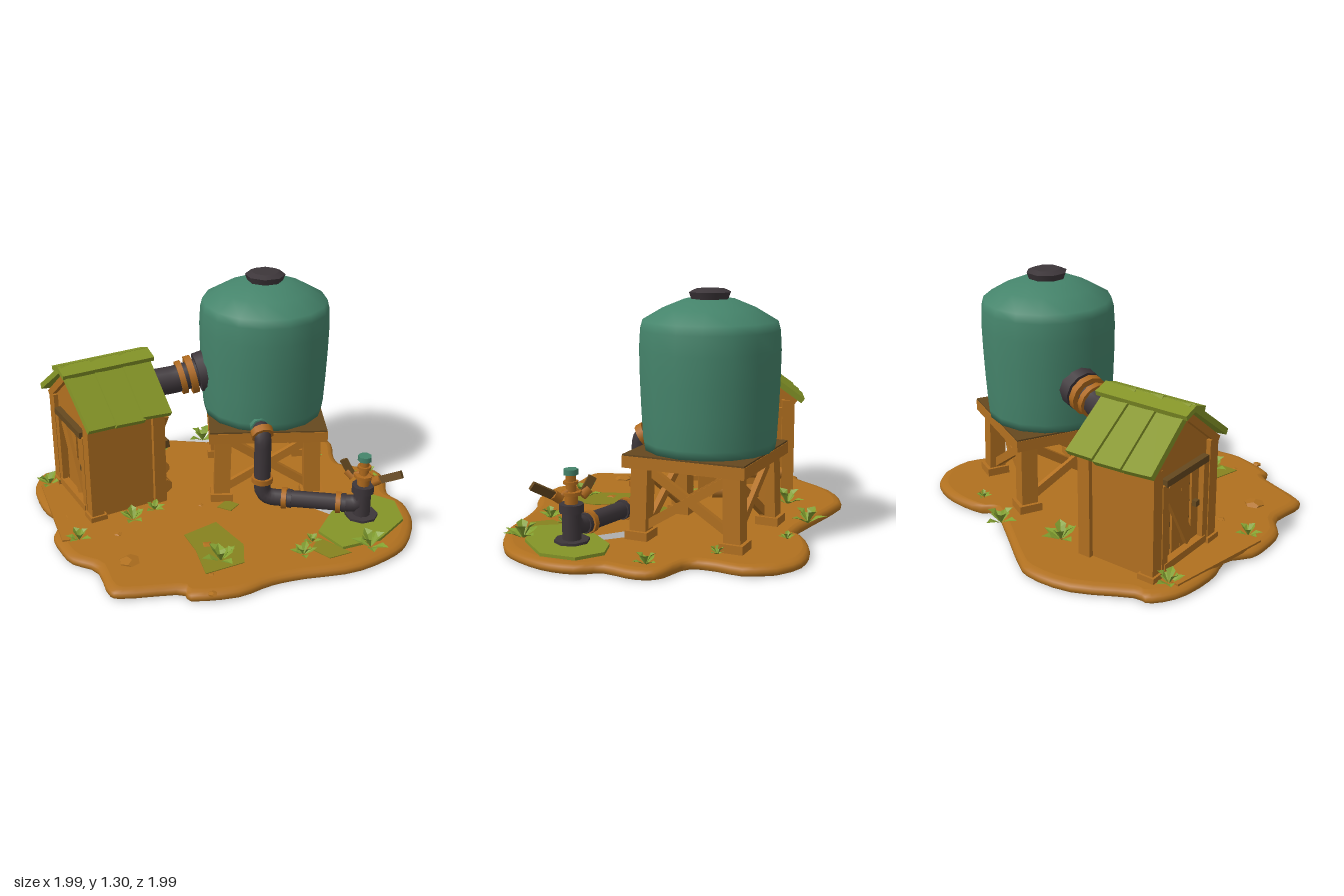
import * as THREE from 'three';

const V = (x, y, z) => new THREE.Vector3(x, y, z);
const UP = V(0, 1, 0);

export function createModel() {
  const paint = (name, color, side = THREE.FrontSide) => {
    const m = new THREE.MeshStandardMaterial({ color, side });
    m.name = name;
    return m;
  };
  const earth = paint('earth', 0xb0701f, THREE.DoubleSide);
  const wood = paint('wood', 0xb27020);
  const darkWood = paint('darkWood', 0x65481f);
  const copper = paint('copper', 0xae691d);
  const iron = paint('iron', 0x3d363a);
  const teal = paint('teal', 0x45846b);
  const thatch = paint('roofGreen', 0x849427);
  const leafGreen = paint('leafGreen', 0x83a030, THREE.DoubleSide);
  const grass = paint('grass', 0x87821f);

  const model = new THREE.Group();
  const group = (name, parent = model) => {
    const g = new THREE.Group();
    g.name = name;
    parent.add(g);
    return g;
  };
  const add = (parent, name, geo, mat, x = 0, y = 0, z = 0) => {
    const m = new THREE.Mesh(geo, mat);
    m.name = name;
    m.position.set(x, y, z);
    parent.add(m);
    return m;
  };
  const box = (p, name, mat, w, h, d, x, y, z) => add(p, name, new THREE.BoxGeometry(w, h, d), mat, x, y, z);
  // place a vertical geometry between two points
  const between = (p, name, geo, mat, a, b) => {
    const m = add(p, name, geo, mat);
    m.position.copy(a).add(b).multiplyScalar(0.5);
    m.quaternion.setFromUnitVectors(UP, b.clone().sub(a).normalize());
    return m;
  };
  const beam = (p, name, mat, a, b, w, d) =>
    between(p, name, new THREE.BoxGeometry(w, a.distanceTo(b), d), mat, a, b);
  const rod = (p, name, mat, a, b, r, r2 = r, sides = 10) =>
    between(p, name, new THREE.CylinderGeometry(r2, r, a.distanceTo(b), sides), mat, a, b);
  // horizontal slab from an outline of [x, z] pairs
  const vec2 = (pts) => pts.map(([x, z]) => new THREE.Vector2(x, z));
  const slab = (name, mat, pts, top, depth) => {
    const geo = new THREE.ExtrudeGeometry(new THREE.Shape(vec2(pts)), { depth, bevelEnabled: false });
    return add(model, name, geo.rotateX(Math.PI / 2), mat, 0, top, 0);
  };
  // pipe along a path with rounded corners
  const pipe = (p, name, pts, r, bend) => {
    const path = new THREE.CurvePath();
    let from = pts[0];
    for (let i = 1; i < pts.length - 1; i++) {
      const c = pts[i];
      const a = c.clone().add(pts[i - 1].clone().sub(c).setLength(bend));
      const b = c.clone().add(pts[i + 1].clone().sub(c).setLength(bend));
      path.add(new THREE.LineCurve3(from, a));
      path.add(new THREE.QuadraticBezierCurve3(a, c, b));
      from = b;
    }
    path.add(new THREE.LineCurve3(from, pts[pts.length - 1]));
    add(p, name, new THREE.TubeGeometry(path, 48, r, 10), iron);
  };

  // ground island: hollow shell with a rounded rim and a gap beneath the low pipe
  const outline = vec2([[-.19, -1], [-.04, -.97], [.09, -.85], [.2, -.81], [.35, -.9], [.47, -.87], [.59, -.75], [.72, -.73],
    [.86, -.63], [.97, -.45], [.995, -.29], [.95, -.05], [.81, .19], [.74, .35], [.7, .53], [.57, .72], [.49, .73], [.33, .95],
    [.25, .99], [.06, .92], [-.09, .97], [-.23, .95], [-.34, .91], [-.44, .8], [-.61, .79], [-.82, .71], [-.93, .59],
    [-.92, .5], [-.995, .21], [-.96, -.03], [-.85, -.16], [-.49, -.48], [-.49, -.61], [-.44, -.8], [-.33, -.95], [-.19, -1]]);
  const edge = new THREE.SplineCurve(outline).getPoints(100).slice(0, 100);
  const island = new THREE.Shape(edge.map((p) => p.clone().multiplyScalar(.95)));
  island.holes.push(new THREE.Path(vec2([[.38, -.38], [.54, -.4], [.55, -.32], [.34, -.28], [.2, -.18], [.27, -.28]])));
  add(model, 'groundTop', new THREE.ShapeGeometry(island).rotateX(Math.PI / 2), earth, 0, .056, 0);
  const rim = [], rimFaces = [], n = edge.length;
  [[.95, .056], [.975, .052], [.993, .042], [1, .028], [.997, .012], [.985, .005]].forEach(([s, y], j) => {
    edge.forEach((p, i) => {
      rim.push(p.x * s, y, p.y * s);
      const a = j * n + i, b = j * n + (i + 1) % n;
      if (j) rimFaces.push(a, a - n, b, b, a - n, b - n);
    });
  });
  const rimGeo = new THREE.BufferGeometry();
  rimGeo.setAttribute('position', new THREE.Float32BufferAttribute(rim, 3));
  rimGeo.setIndex(rimFaces);
  rimGeo.computeVertexNormals();
  add(model, 'groundRim', rimGeo, earth);

  // grass patches
  slab('sprinklerGrass', thatch, [[.55, -.63], [.7, -.67], [.85, -.56], [.89, -.32], [.81, -.11], [.62, -.13], [.54, -.32], [.5, -.51]], .072, .025);
  slab('grassPatch', grass, [[.17, .2], [.43, .24], [.55, .35], [.49, .56], [.3, .46], [.15, .41]], .06, .009);
  slab('grassPatch', grass, [[.04, 0], [.12, -.02], [.14, .06], [.06, .09]], .06, .009);
  slab('grassPatch', grass, [[.65, -.1], [.86, -.12], [.82, 0], [.7, .01]], .06, .009);

  // board in front of the hut
  slab('groundBoard', earth, [[-.78, .62], [-.2, .86], [-.24, .92], [-.8, .68]], .064, .02);

  // hut
  const hut = group('hut');
  hut.position.set(-.505, 0, .405);
  hut.rotation.y = -.23;
  const gable = () => new THREE.Shape(vec2([[-.25, .04], [.25, .04], [.25, .61], [0, .81], [-.25, .61]]));
  add(hut, 'hutWalls', new THREE.ExtrudeGeometry(gable(), { depth: .36, bevelEnabled: false }), wood, 0, 0, -.19);
  const front = gable();
  front.holes.push(new THREE.Path(vec2([[-.17, .08], [-.17, .52], [.17, .52], [.17, .08]])));
  add(hut, 'hutFront', new THREE.ExtrudeGeometry(front, { depth: .03, bevelEnabled: false }), wood, 0, 0, .17);
  for (const s of [-1, 1]) {
    for (const z of [-.19, .19]) box(hut, 'cornerPost', wood, .07, .58, .07, s * .24, .33, z);
    box(hut, 'postFoot', wood, .095, .04, .095, s * .24, .065, .19);
    box(hut, 'doorJamb', wood, .045, .46, .03, s * .175, .3, .21);
    for (const z of [-.2, .21]) beam(hut, 'gableTrim', wood, V(s * .28, .6, z), V(0, .82, z), .04, .03);
  }
  box(hut, 'doorHeader', darkWood, .36, .035, .04, 0, .54, .215);
  box(hut, 'doorSill', wood, .36, .04, .04, 0, .09, .21);
  box(hut, 'doorGap', darkWood, .33, .43, .006, 0, .3, .173);
  for (let i = 0; i < 4; i++) box(hut, 'doorPlank', wood, .074, .42, .012, -.116 + i * .084, .3, .178 + (i % 2) * .006);
  beam(hut, 'doorBrace', wood, V(-.13, .49, .197), V(.07, .13, .197), .065, .025);
  box(hut, 'doorHandle', darkWood, .03, .03, .03, .12, .31, .2);

  // boards and logs stacked behind the hut
  const shelf = box(hut, 'backShelf', darkWood, .27, .045, .1, .06, .36, -.24);
  shelf.rotation.x = .15;
  rod(hut, 'backLog', wood, V(-.2, .2, -.25), V(.2, .22, -.25), .035, .035, 7);
  rod(hut, 'backLog', wood, V(-.16, .1, -.26), V(.2, .1, -.26), .04, .04, 7);
  beam(hut, 'backBoard', wood, V(.17, .44, -.22), V(.23, .58, -.24), .06, .04);
  box(hut, 'backBeam', wood, .5, .05, .05, 0, .55, -.2);

  // hut roof
  for (const s of [-1, 1]) {
    const slope = group(s > 0 ? 'leftRoof' : 'rightRoof', hut);
    slope.position.set(s * .16, .745, 0);
    slope.rotation.z = -s * .63;
    for (let i = -1; i <= 1; i++) {
      const plank = box(slope, 'roofPlank', thatch, .41 + (i === 0 ? .015 : 0), .032, .17, 0, 0, i * .162);
      plank.rotation.x = -.09;
      plank.rotation.y = i * .03;
    }
    const cap = box(hut, 'ridgeBoard', thatch, .09, .026, .53, s * .036, .857, 0);
    cap.rotation.z = -s * .32;
  }

  // timber stand
  const stand = group('tankStand');
  stand.position.set(-.045, 0, -.37);
  stand.rotation.y = -.7;
  box(stand, 'platform', wood, .64, .03, .64, 0, .472, 0);
  box(stand, 'platformTop', darkWood, .645, .009, .645, 0, .491, 0);
  for (let i = 0; i < 4; i++) {
    const side = group('standSide', stand);
    side.rotation.y = i * Math.PI / 2;
    box(side, 'platformRim', wood, .65, .06, .05, 0, .457, .3);
    beam(side, 'leg', wood, V(.255, .05, .255), V(.245, .44, .245), .09, .09);
    box(side, 'foot', wood, .125, .055, .125, .255, .0725, .255);
    beam(side, 'brace', wood, V(-.23, .12, .25), V(.23, .41, .25), .045, .03);
    beam(side, 'brace', wood, V(.23, .12, .225), V(-.23, .41, .225), .045, .03);
  }

  // water tank
  const tank = group('waterTank');
  tank.position.set(-.055, 0, -.37);
  const profile = vec2([[0, .497], [.335, .497], [.342, .54], [.35, .68], [.357, .85], [.36, 1], [.354, 1.1],
    [.342, 1.145], [.24, 1.205], [.13, 1.25], [0, 1.255]]);
  add(tank, 'tankBody', new THREE.LatheGeometry(profile, 16), teal);
  add(tank, 'tankLid', new THREE.CylinderGeometry(.11, .095, .04, 8), iron, 0, 1.265, 0);
  add(tank, 'lidTop', new THREE.CylinderGeometry(.075, .11, .016, 8), iron, 0, 1.293, 0);

  // feed pipe from tank to hut
  const feed = group('feedPipe');
  const p0 = V(-.24, .74, -.1), p1 = V(-.33, .7, .06), p2 = V(-.44, .68, .25);
  pipe(feed, 'feedTube', [p0, p1, p2], .078, .03);
  const along = (t) => p0.clone().lerp(p1, t);
  rod(feed, 'tankFlange', iron, along(-.15), along(.28), .115, .11, 12);
  rod(feed, 'feedCollar', copper, along(.36), along(.56), .108, .108, 12);
  rod(feed, 'feedCollar', copper, along(.68), along(.85), .095, .095, 12);

  // low pipe from tank to sprinkler
  const drain = group('drainPipe');
  const top = V(.24, .5, -.08), corner = V(.24, .14, -.08), end = V(.67, .14, -.42);
  pipe(drain, 'drainTube', [V(.13, .53, -.15), V(.24, .53, -.08), corner, end, V(.67, .24, -.42)], .046, .07);
  rod(drain, 'outlet', teal, V(.11, .53, -.16), V(.19, .53, -.11), .05, .055, 8);
  rod(drain, 'drainCollar', copper, V(.205, .53, -.1), V(.235, .51, -.085), .062, .062);
  rod(drain, 'drainCollar', copper, top.clone().setY(.235), top.clone().setY(.265), .06);
  const run = (t) => corner.clone().lerp(end, t);
  for (const t of [.2, .74]) {
    rod(drain, 'drainCollar', copper, run(t), run(t + .05), .06);
    rod(drain, 'drainRing', iron, run(t + .06), run(t + .1), .053);
  }

  // sprinkler
  const spr = group('sprinkler');
  spr.position.set(.67, 0, -.42);
  const disc = (name, mat, r, y0, y1, sides = 10) => rod(spr, name, mat, V(0, y0, 0), V(0, y1, 0), r, r, sides);
  disc('base', iron, .09, .06, .085, 8);
  disc('column', iron, .048, .08, .23);
  disc('topFlange', iron, .062, .222, .265);
  disc('nozzleBase', copper, .034, .265, .31, 8);
  disc('nozzleRing', copper, .052, .31, .328, 8);
  disc('nozzleStem', copper, .026, .328, .415, 8);
  disc('nozzleRing', copper, .038, .365, .38, 8);
  disc('nozzleCap', teal, .038, .412, .44, 7);
  for (const [s, len] of [[1, .215], [-1, .125]]) {
    const dir = V(s * .93, 0, -s * .3);
    const at = (d, y) => dir.clone().multiplyScalar(d).setY(y);
    rod(spr, 'armTube', copper, at(.02, .33), at(.08, .3), .014, .014, 6);
    beam(spr, 'armBlade', darkWood, at(.07, .305), at(len, .385), .042, .022);
    rod(spr, 'armTip', copper, at(.06, .295), at(.1, .325), .026, .026, 6);
  }

  // folded pointed leaf, one unit long
  const leaf = new THREE.BufferGeometry();
  const b = [0, 0, 0], l = [-.3, .5, .5], r = [.3, .5, .5], m = [0, .38, .52], t = [0, .55, 1];
  leaf.setAttribute('position', new THREE.Float32BufferAttribute(
    [b, m, l, l, m, t, b, r, m, m, r, t].flat(), 3));
  leaf.computeVertexNormals();

  // plants: x, z, size
  [[.39, -.8, .07], [-.39, -.62, .045], [-.6, -.39, .095], [-.63, -.02, .1], [-.79, .63, .08], [-.2, .84, .07],
    [-.16, .51, .08], [-.16, .36, .06], [.45, .42, .1], [.7, .07, .07], [.65, -.05, .05], [.89, -.24, .1],
    [.02, -.75, .05]].forEach(([x, z, size], k) => {
    const plant = group('plant');
    plant.position.set(x, .05, z);
    for (let i = 0; i < 7; i++) {
      const blade = add(plant, 'leaf', leaf, leafGreen);
      blade.rotation.y = k * 1.3 + i * Math.PI * 2 / 7;
      blade.scale.set(size, size * (i % 2 ? 1.5 : .75), size * (i % 2 ? .7 : 1.05));
    }
  });

  // rocks: x, z, radius
  [[.14, .77, .06], [.3, .38, .036], [-.1, .66, .025], [.63, .64, .025], [.51, .54, .02], [-.02, .14, .02]].forEach(([x, z, r], i) => {
    const rock = add(model, 'rock', new THREE.DodecahedronGeometry(r), earth, x, .052, z);
    rock.scale.y = .4;
    rock.rotation.y = i;
  });

  return model;
}
